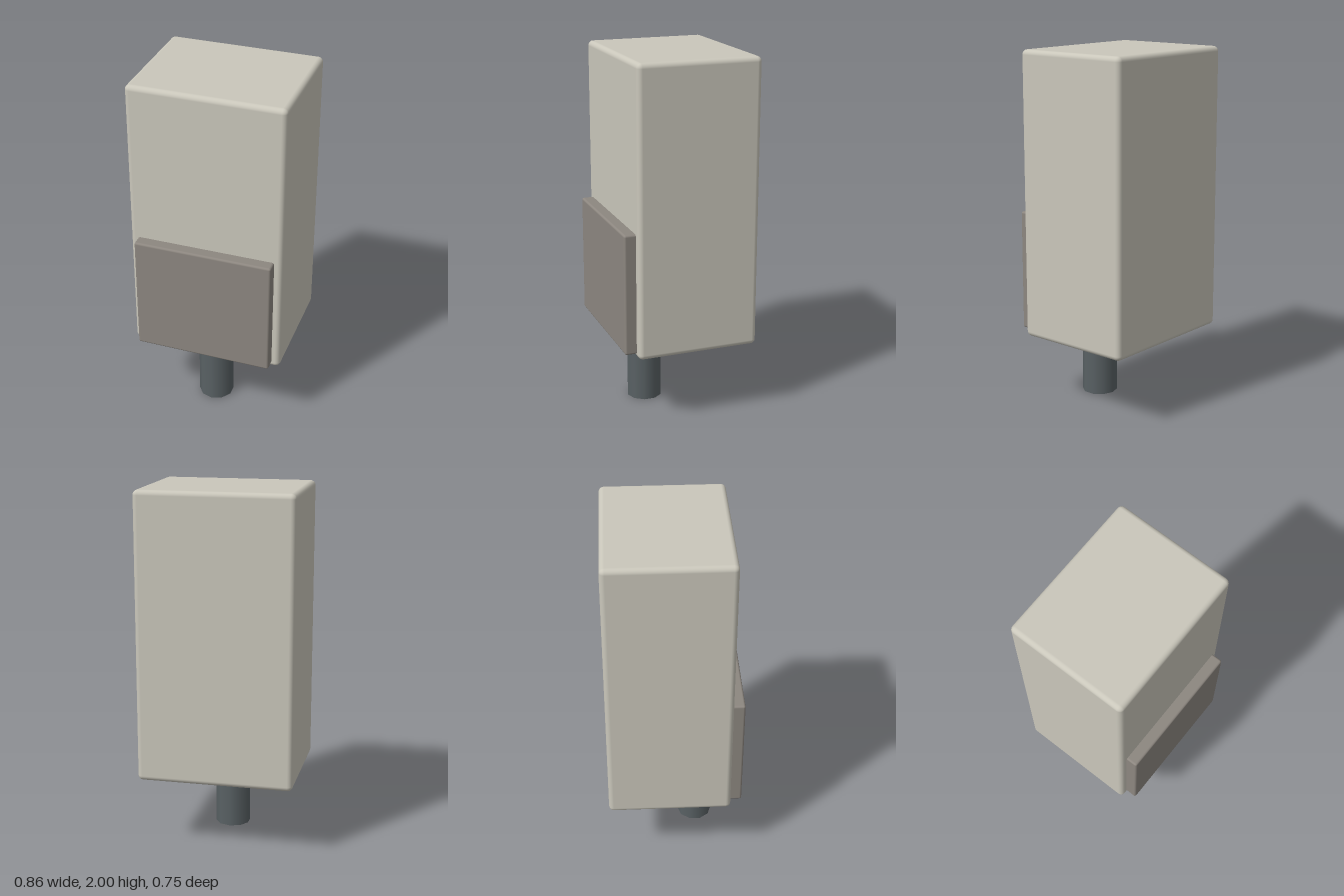
import * as THREE from 'three';
import { RoundedBoxGeometry } from 'three/addons/geometries/RoundedBoxGeometry.js';

export function createModel() {
  const model = new THREE.Group();
  const casing = new THREE.MeshStandardMaterial({ name: 'warm grey casing', color: 0xcac7bb });
  const cover = new THREE.MeshStandardMaterial({ name: 'taupe cover', color: 0x8d8780 });
  const steel = new THREE.MeshStandardMaterial({ name: 'dark steel', color: 0x596164 });

  const add = (name, geometry, material, x, y, z) => {
    const mesh = new THREE.Mesh(geometry, material);
    mesh.name = name;
    mesh.position.set(x, y, z);
    model.add(mesh);
  };

  // Tall box with softly rounded edges
  add('body', new RoundedBoxGeometry(0.864, 1.6, 0.685, 3, 0.028), casing, 0, 1.2, -0.032);

  // Raised cover on the lower front, sunk into the body
  add('frontPanel', new RoundedBoxGeometry(0.774, 0.675, 0.13, 2, 0.012), cover, 0, 0.763, 0.31);

  // Post below the body, a little forward of centre
  add('post', new THREE.CylinderGeometry(0.1, 0.1, 0.42, 10), steel, 0, 0.21, 0.135);

  return model;
}
